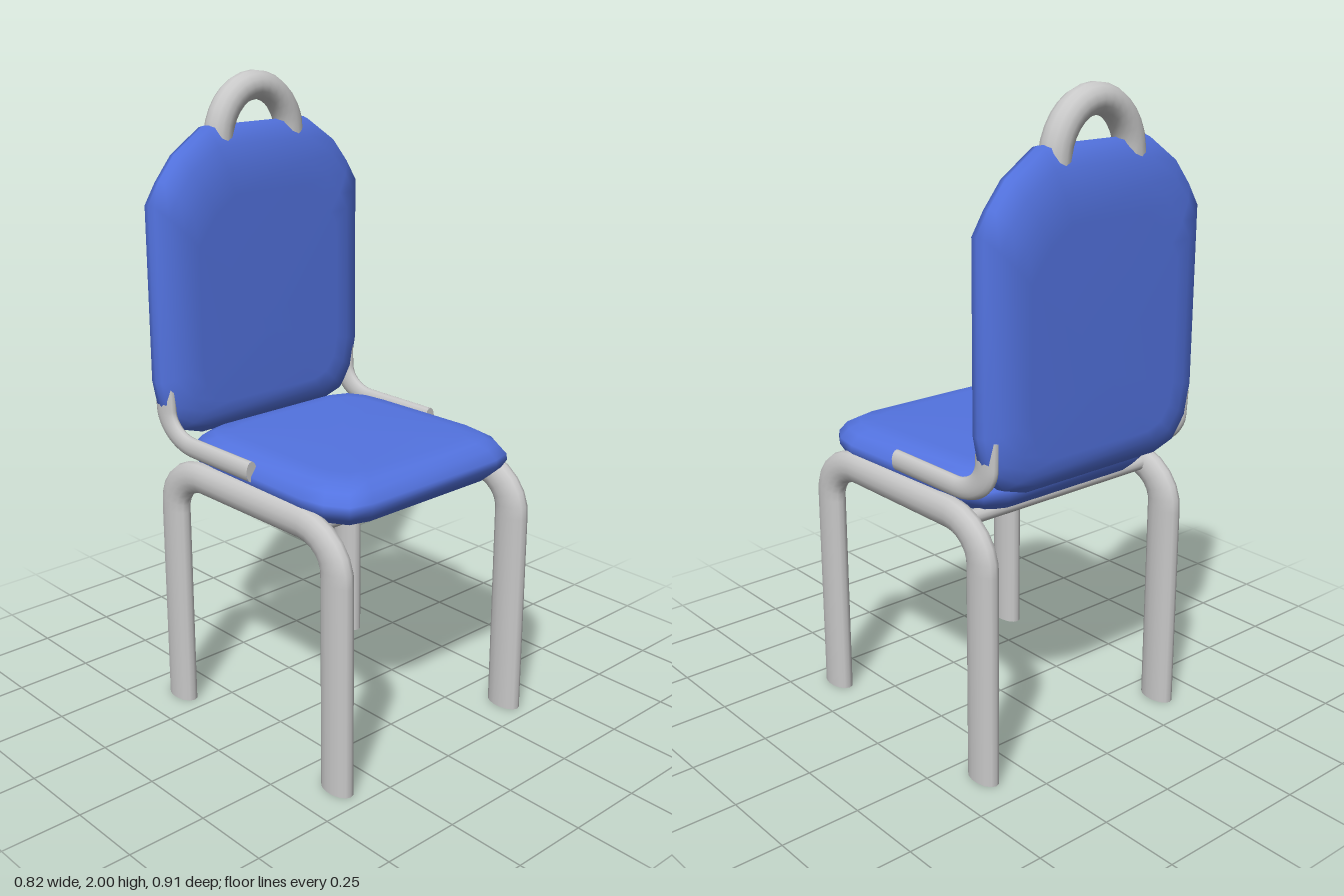
import * as THREE from 'three';
import { mergeGeometries } from 'three/addons/utils/BufferGeometryUtils.js';

const fabric = new THREE.MeshStandardMaterial({ color: 0x5373e0 });
fabric.name = 'blue fabric';
const metal = new THREE.MeshStandardMaterial({ color: 0xc8c8c8 });
metal.name = 'grey metal';

function part(name, geometry, material, parent) {
  const mesh = new THREE.Mesh(geometry, material);
  mesh.name = name;
  parent.add(mesh);
  return mesh;
}

// Capped tube; the path is pre-divided by the squash so the finished tube follows it.
function tube(path, radius, squash, segments = 40) {
  const parts = [new THREE.TubeGeometry(path, segments, radius, 14)];
  for (const t of [0, 1]) {
    const cap = new THREE.CircleGeometry(radius, 14);
    const out = path.getTangentAt(t).multiplyScalar(t ? 1 : -1);
    cap.applyQuaternion(new THREE.Quaternion().setFromUnitVectors(new THREE.Vector3(0, 0, 1), out));
    const p = path.getPointAt(t);
    parts.push(cap.translate(p.x, p.y, p.z));
  }
  return mergeGeometries(parts).scale(...squash);
}

// Straight runs joined by rounded corners, in the y-z plane; points are [z, y, cornerSize].
function bentPath(points, squashY) {
  const v = points.map(([z, y]) => new THREE.Vector3(0, y / squashY, z));
  const path = new THREE.CurvePath();
  let from = v[0];
  for (let i = 1; i < v.length - 1; i++) {
    const r = points[i][2];
    const a = v[i].clone().add(v[i - 1].clone().sub(v[i]).setLength(r));
    const b = v[i].clone().add(v[i + 1].clone().sub(v[i]).setLength(r));
    path.add(new THREE.LineCurve3(from, a));
    const k = 0.55;
    path.add(new THREE.CubicBezierCurve3(a, a.clone().lerp(v[i], k), b.clone().lerp(v[i], k), b));
    from = b;
  }
  path.add(new THREE.LineCurve3(from, v[v.length - 1]));
  return path;
}

// Cushion along z: counter-clockwise outline, scaled per level [height, scale], flat at both ends.
function cushion(outline, levels) {
  const n = outline.length, pos = [], index = [];
  for (const [h, s] of levels) for (const [x, y] of outline) pos.push(x * s, y * s, h);
  for (let l = 0; l < levels.length - 1; l++) {
    for (let i = 0; i < n; i++) {
      const a = l * n + i, b = l * n + (i + 1) % n;
      index.push(a, b, b + n, a, b + n, a + n);
    }
  }
  const last = levels.length - 1;
  pos.push(0, 0, levels[0][0], 0, 0, levels[last][0]);
  const bottom = levels.length * n, top = bottom + 1;
  for (let i = 0; i < n; i++) {
    const j = (i + 1) % n;
    index.push(bottom, j, i, top, last * n + i, last * n + j);
  }
  const g = new THREE.BufferGeometry();
  g.setAttribute('position', new THREE.Float32BufferAttribute(pos, 3));
  g.setIndex(index);
  g.computeVertexNormals();
  return g;
}

// Completes a right-hand half outline (bottom to top) by mirroring it.
const mirrored = (half) => [...half, ...half.slice().reverse().map(([x, y]) => [-x, y])];

export function createModel() {
  const chair = new THREE.Group();
  chair.name = 'chair';

  // Seat cushion, laid flat so its outline's +y becomes the back
  const seatOutline = mirrored([
    [0.26, -0.385], [0.33, -0.365], [0.37, -0.3], [0.385, -0.22],
    [0.375, 0.2], [0.365, 0.29], [0.33, 0.355], [0.26, 0.385],
  ]);
  const seat = part('seat', cushion(seatOutline, [
    [0.8, 0.8], [0.81, 0.9], [0.835, 0.965], [0.86, 1], [0.88, 0.995],
    [0.91, 0.94], [0.928, 0.86], [0.936, 0.72],
  ]), fabric, chair);
  seat.rotation.x = -Math.PI / 2;
  seat.position.z = 0.043;

  // Backrest, with its outline taken about y = 1.2 so the top tapers more than the bottom
  const backOutline = mirrored([
    [0.26, 0.89], [0.34, 0.915], [0.39, 0.98], [0.41, 1.08],
    [0.41, 1.63], [0.37, 1.695], [0.31, 1.77], [0.2, 1.845],
  ]).map(([x, y]) => [x, y - 1.2]);
  const back = part('backrest', cushion(backOutline, [
    [-0.072, 0.68], [-0.068, 0.8], [-0.052, 0.91], [-0.025, 0.99],
    [0, 1], [0.025, 0.99], [0.052, 0.91], [0.068, 0.8], [0.072, 0.68],
  ]), fabric, chair);
  back.position.set(0, 1.2, -0.383);

  // Bent side frames and the arms that carry the backrest
  const legY = 0.83, armY = 0.72;
  const legs = tube(bentPath([
    [0.4, 0], [0.4, 0.805, 0.15], [-0.355, 0.805, 0.15], [-0.355, 0],
  ], legY), 0.06, [0.57, legY, 1], 64);
  const arm = tube(bentPath([
    [0.035, 0.895], [-0.375, 0.895, 0.13], [-0.385, 1.07],
  ], armY), 0.045, [0.43, armY, 1]);
  for (const [side, s] of [['left', 1], ['right', -1]]) {
    part(side + 'Legs', legs, metal, chair).position.x = s * 0.37;
    part(side + 'BackSupport', arm, metal, chair).position.x = s * 0.375;
  }

  // Cross bars under the seat
  const bar = new THREE.CylinderGeometry(0.022, 0.022, 0.72, 12).rotateZ(Math.PI / 2);
  for (const [name, z] of [['frontCrossBar', 0.29], ['backCrossBar', -0.27]]) {
    part(name, bar, metal, chair).position.set(0, 0.798, z);
  }

  // Arched carrying handle
  const arch = [];
  for (let i = 0; i <= 8; i++) {
    const a = Math.PI * i / 8;
    arch.push(new THREE.Vector3(0.143 * Math.cos(a), 1.785 + 0.17 * Math.sin(a), 0));
  }
  const handle = tube(new THREE.CatmullRomCurve3(arch), 0.045, [1, 1, 1.06], 16);
  part('handle', handle, metal, chair).position.z = -0.385;

  return chair;
}
